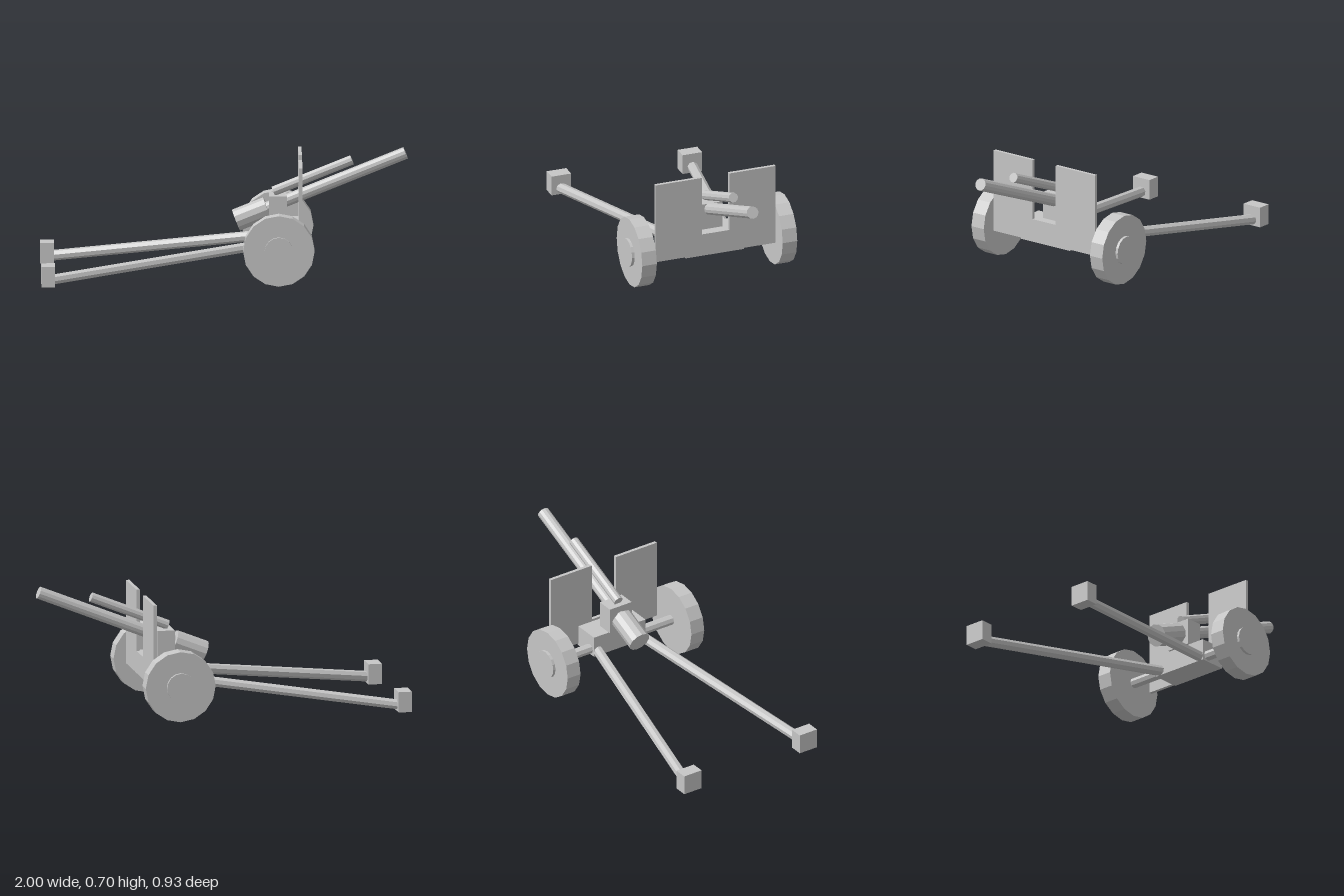
import * as THREE from 'three';

export function createModel() {
  const model = new THREE.Group();
  model.name = 'fieldGun';
  const steel = new THREE.MeshStandardMaterial({ color: 0xc6c6c6, flatShading: true });
  steel.name = 'plain light grey';

  function add(name, geometry) {
    const mesh = new THREE.Mesh(geometry, steel);
    mesh.name = name;
    model.add(mesh);
    return mesh;
  }
  // Box given by its limits on each axis
  function box(name, x0, x1, y0, y1, z0, z1) {
    add(name, new THREE.BoxGeometry(x1 - x0, y1 - y0, z1 - z0))
      .position.set((x0 + x1) / 2, (y0 + y1) / 2, (z0 + z1) / 2);
  }
  // Faceted rod between two points
  function rod(name, a, b, radius, sides) {
    const from = new THREE.Vector3(...a), to = new THREE.Vector3(...b);
    const dir = to.clone().sub(from);
    const mesh = add(name, new THREE.CylinderGeometry(radius, radius, dir.length(), sides));
    mesh.position.copy(from).add(to).multiplyScalar(0.5);
    mesh.quaternion.setFromUnitVectors(new THREE.Vector3(0, 1, 0), dir.normalize());
  }
  // Disc on the axle line, with its axis along z
  function disc(name, radius, z0, z1) {
    const geometry = new THREE.CylinderGeometry(radius, radius, Math.abs(z1 - z0), 16);
    geometry.rotateX(Math.PI / 2);
    add(name, geometry).position.set(0.293, 0.198, (z0 + z1) / 2);
  }

  // Carriage, cradle and axle
  box('carriage', 0.254, 0.412, 0.164, 0.285, -0.17, 0.17);
  box('cradle', 0.243, 0.34, 0.285, 0.435, -0.072, 0.072);
  rod('axle', [0.293, 0.198, -0.37], [0.293, 0.198, 0.37], 0.028, 8);

  // Shield plate with a notch for the barrel
  const outline = [[-0.35, 0.176], [0.35, 0.176], [0.35, 0.638], [0.08, 0.638],
    [0.08, 0.298], [-0.08, 0.298], [-0.08, 0.638], [-0.35, 0.638]];
  const shieldShape = new THREE.Shape(outline.map(([z, y]) => new THREE.Vector2(z, y)));
  const shield = add('shield',
    new THREE.ExtrudeGeometry(shieldShape, { depth: 0.019, bevelEnabled: false }));
  shield.rotation.y = Math.PI / 2;
  shield.position.x = 0.404;

  // Barrel, breech and recoil cylinder share one elevation
  rod('barrel', [0.2, 0.347, 0], [0.987, 0.664, 0], 0.034, 12);
  rod('breech', [0.064, 0.294, 0], [0.234, 0.362, 0], 0.062, 12);
  rod('recoilCylinder', [0.267, 0.453, 0], [0.695, 0.626, 0], 0.027, 10);

  // Wheels, hubs, trail legs and feet on both sides
  for (const s of [1, -1]) {
    disc('wheel', 0.195, s * 0.367, s * 0.452);
    disc('hub', 0.078, s * 0.4, s * 0.467);
    rod('trailLeg', [0.29, 0.196, s * 0.135], [-0.95, 0.032, s * 0.388], 0.029, 8);
    box('trailFoot', -1, -0.925, 0, 0.113, s * 0.382 - 0.057, s * 0.382 + 0.057);
  }
  return model;
}
